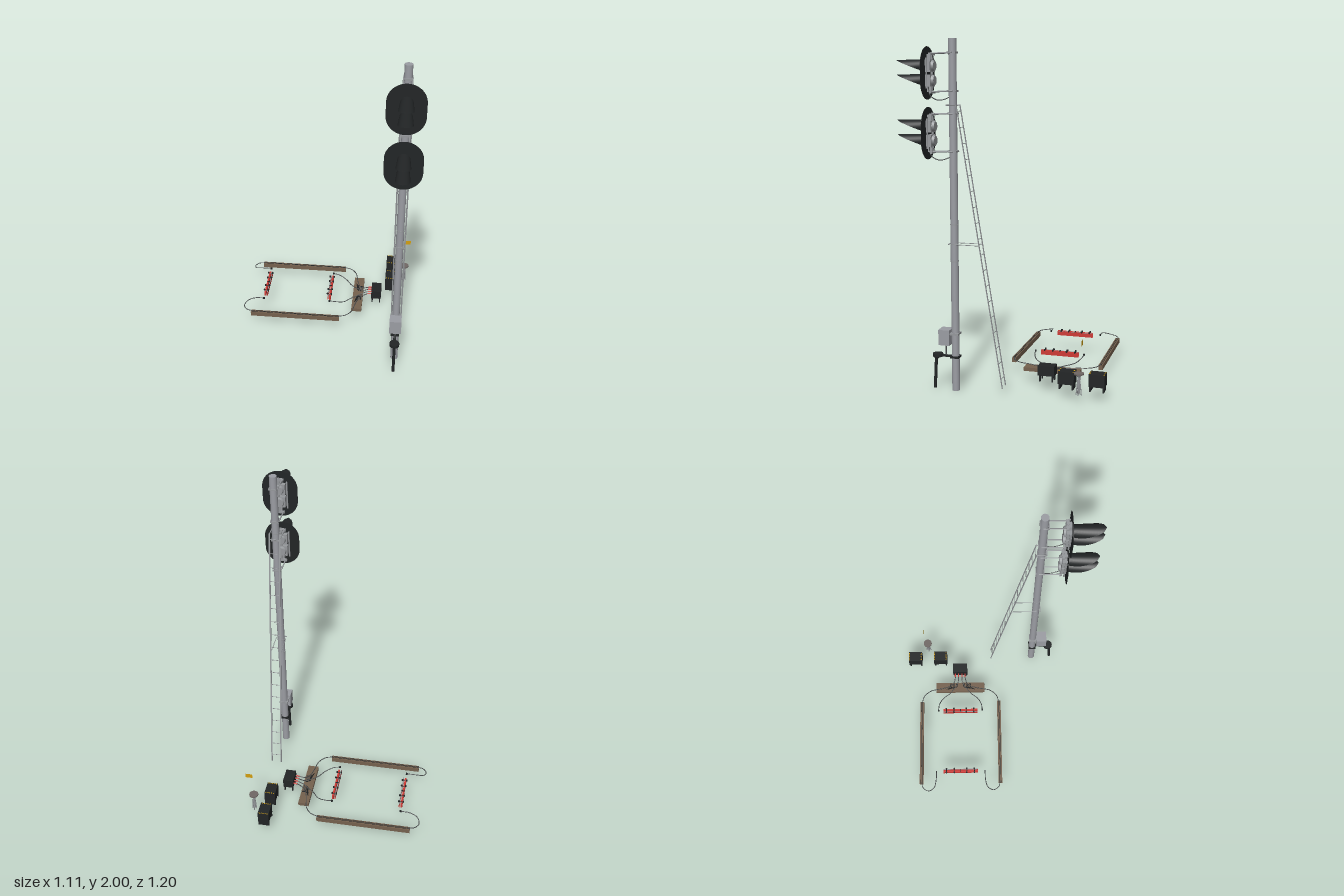
import * as THREE from 'three';

const V = (x, y, z) => new THREE.Vector3(x, y, z);
const material = (name, color, side = THREE.FrontSide) => {
  const m = new THREE.MeshStandardMaterial({ color, side });
  m.name = name;
  return m;
};

export function createModel() {
  const root = new THREE.Group();
  root.name = 'railwaySignal';
  const steel = material('mast grey', 0x9b9da3);
  const housing = material('housing grey', 0x96999c);
  const black = material('black', 0x222526, THREE.DoubleSide);
  const cable = material('cable', 0x4c4f50);
  const lens = material('lens pink', 0xd2b0ac);
  const wood = material('wood', 0x75614e);
  const red = material('red', 0xcf3a35);
  const yellow = material('yellow', 0xd39f10, THREE.DoubleSide);
  const capBrown = material('cap brown grey', 0x706865);

  // Helpers
  const add = (parent, name, geo, mat, x = 0, y = 0, z = 0) => {
    const m = new THREE.Mesh(geo, mat);
    m.name = name;
    m.position.set(x, y, z);
    parent.add(m);
    return m;
  };
  const group = (name, x = 0, y = 0, z = 0) => {
    const g = new THREE.Group();
    g.name = name;
    g.position.set(x, y, z);
    root.add(g);
    return g;
  };
  const box = (p, name, mat, w, h, d, x, y, z) => add(p, name, new THREE.BoxGeometry(w, h, d), mat, x, y, z);
  const cyl = (p, name, mat, r, h, x, y, z, r2 = r, n = 20) => add(p, name, new THREE.CylinderGeometry(r, r2, h, n), mat, x, y, z);
  const rod = (p, name, mat, a, b, r, n = 8) => {
    const d = b.clone().sub(a);
    const m = add(p, name, new THREE.CylinderGeometry(r, r, d.length(), n), mat);
    m.position.copy(a).addScaledVector(d, 0.5);
    m.quaternion.setFromUnitVectors(V(0, 1, 0), d.normalize());
    return m;
  };
  const wire = (p, name, mat, pts, r) =>
    add(p, name, new THREE.TubeGeometry(new THREE.CatmullRomCurve3(pts.map(q => V(...q))), 32, r, 6), mat);

  const MX = 0.45, MZ = 0.267;

  // Mast and its bands
  const mast = group('mast', MX, 0, MZ);
  cyl(mast, 'pole', steel, 0.0225, 2, 0, 1, 0, 0.0225, 24);
  for (const y of [0.2, 0.34, 0.76, 0.86, 0.97, 1.635]) cyl(mast, 'band', housing, 0.0238, 0.006, 0, y, 0, 0.0238, 24);

  // Visor: a flared tunnel cut away obliquely along its underside
  const visorGeometry = () => {
    const g = new THREE.PlaneGeometry(1, 1, 20, 12), p = g.attributes.position;
    for (let i = 0; i < p.count; i++) {
      const t = p.getY(i) + 0.5, u = p.getX(i) * 2;
      const r = 0.035 + 0.014 * t, axis = -0.017 * t;
      const cut = -0.035 + 0.067 * t;
      const a = u * Math.acos(THREE.MathUtils.clamp((cut - axis) / r, -1, 1));
      p.setXYZ(i, r * Math.sin(a), axis + r * Math.cos(a), t * 0.182);
    }
    g.computeVertexNormals();
    return g;
  };

  // Signal heads
  const plate = new THREE.Shape();
  plate.absarc(0, 0.04, 0.106, 0, Math.PI, false);
  plate.absarc(0, -0.04, 0.106, Math.PI, Math.PI * 2, false);
  for (const cy of [1.812, 1.48]) {
    const h = group('signalHead', MX, cy, 0.416);
    add(h, 'backgroundPlate', new THREE.ExtrudeGeometry(plate, { depth: 0.0015, bevelEnabled: false, curveSegments: 20 }), black, 0, 0, -0.001);
    for (const s of [-1, 1]) {
      const y = s * 0.04;
      add(h, 'lens', new THREE.CircleGeometry(0.034, 28), lens, 0, y, 0.003);
      add(h, 'visor', visorGeometry(), black, 0, y, 0.001);
      // Lamp case with a round door on the back
      box(h, 'lampCase', housing, 0.074, 0.066, 0.03, 0, y, -0.016);
      const door = cyl(h, 'lampDoor', housing, 0.031, 0.014, 0, y, -0.038, 0.026);
      door.rotation.x = Math.PI / 2;
      box(h, 'hinge', housing, 0.008, 0.045, 0.008, 0.039, y, -0.028);
      // Bracket arms to the mast
      const by = s > 0 ? 0.107 : -0.102;
      for (const x of [-0.024, 0.024]) rod(h, 'bracketArm', housing, V(x, by, -0.027), V(x, by + 0.004, -0.155), 0.004);
      box(h, 'bracketCross', housing, 0.062, 0.014, 0.014, 0, by - 0.003, -0.027);
      box(h, 'mastClamp', housing, 0.056, 0.01, 0.006, 0, by + 0.004, -0.125);
      box(h, 'mastClampBack', housing, 0.05, 0.01, 0.004, 0, by + 0.004, -0.172);
      box(h, 'plateFoot', housing, 0.03, 0.03, 0.024, 0, s * 0.088, -0.014);
    }
    for (const x of [-0.045, 0.045]) rod(h, 'frameBar', housing, V(x, -0.085, -0.012), V(x, 0.085, -0.012), 0.005);
    rod(h, 'spine', housing, V(0, -0.112, -0.025), V(0, 0.115, -0.025), 0.006);
    wire(h, 'headCable', cable, [[0.015, -0.075, -0.012], [0.015, -0.12, -0.02], [0.012, -0.145, -0.055], [0.005, -0.146, -0.09], [0, -0.132, -0.128]], 0.0028);
  }

  // Ladder leaning on the back of the mast, with flat rails
  const ladder = group('ladder');
  const top = V(MX, 1.64, 0.238), foot = V(MX, 0.045, -0.022);
  const run = top.clone().sub(foot), middle = foot.clone().lerp(top, 0.5);
  for (const s of [-1, 1]) {
    const x = MX + s * 0.031;
    const rail = box(ladder, 'ladderRail', housing, 0.009, run.length(), 0.004, x, middle.y, middle.z);
    rail.rotation.x = Math.atan2(run.z, run.y);
    rod(ladder, 'ladderStay', housing, V(x, 0.86, 0.27), V(x, 0.86, 0.111), 0.0022);
    rod(ladder, 'ladderHook', housing, V(x, 1.637, 0.238), V(x, 1.637, 0.295), 0.003);
  }
  for (let i = 0; i < 18; i++) {
    const c = foot.clone().lerp(top, (i + 0.6) / 18);
    rod(ladder, 'rung', housing, c.clone().setX(MX - 0.031), c.clone().setX(MX + 0.031), 0.0021, 6);
  }
  box(ladder, 'stayCross', housing, 0.066, 0.005, 0.005, MX, 0.86, 0.292);
  box(ladder, 'topCross', housing, 0.068, 0.008, 0.005, MX, 1.637, 0.294);

  // Junction box on the mast
  const junction = group('junctionBox', MX, 0, 0);
  box(junction, 'boxBody', steel, 0.072, 0.09, 0.066, 0, 0.315, 0.326);
  box(junction, 'boxClamp', housing, 0.056, 0.012, 0.05, 0, 0.337, MZ);
  rod(junction, 'conduit', cable, V(0, 0.27, 0.325), V(0, 0.2, 0.325), 0.004);

  // Black cable head on a slanted post
  const stand = group('cableStand', MX, 0, 0);
  box(stand, 'standClamp', black, 0.052, 0.012, 0.05, 0, 0.2, MZ);
  box(stand, 'standArm', black, 0.018, 0.01, 0.06, 0, 0.2, 0.32);
  cyl(stand, 'standHead', black, 0.03, 0.018, 0, 0.202, 0.376);
  cyl(stand, 'standNeck', black, 0.02, 0.014, 0, 0.187, 0.384, 0.012);
  rod(stand, 'standPost', black, V(0, 0.19, 0.386), V(0, 0.002, 0.396), 0.009, 12);

  // Ground boxes: the hooded ones stand on full-width end panels, the other on legs
  const groundBox = (name, x, z, w, h, d, y0, hooded) => {
    const g = group(name, x, 0, z);
    box(g, 'case', black, w, h, d, 0, y0 + h / 2, 0);
    const legY = (y0 + 0.057) / 2, legH = y0 - 0.057;
    for (const sz of [-1, 1]) {
      if (hooded) {
        box(g, 'endPanel', black, w, legH, 0.008, 0, legY, sz * (d / 2 - 0.008));
        for (let i = -2; i <= 2; i++) {
          const dash = add(g, 'warningDash', new THREE.PlaneGeometry(0.006, 0.007), yellow, i * 0.012, y0 + h + 0.001, sz * (d / 2 - 0.005));
          dash.rotation.set(-Math.PI / 2, 0, 0.4);
        }
      } else for (const sx of [-1, 1])
        box(g, 'leg', black, 0.008, legH, 0.008, sx * (w / 2 - 0.007), legY, sz * (d / 2 - 0.012));
    }
  };
  groundBox('connectionBox', 0.308, -0.24, 0.064, 0.058, 0.098, 0.093, false);
  groundBox('equipmentBoxRear', 0.396, -0.553, 0.068, 0.073, 0.092, 0.086, true);
  groundBox('equipmentBoxFront', 0.396, -0.378, 0.068, 0.073, 0.092, 0.086, true);

  // Mushroom post and yellow sign
  const post = group('mushroomPost', 0.486, 0, -0.465);
  cyl(post, 'cap', capBrown, 0.028, 0.008, 0, 0.178, 0, 0.028, 24);
  cyl(post, 'capCone', housing, 0.016, 0.014, 0, 0.167, 0, 0.009);
  cyl(post, 'stem', housing, 0.008, 0.1, 0, 0.115, 0);
  for (const s of [-1, 1]) {
    rod(post, 'stemLeg', housing, V(s * 0.006, 0.14, 0), V(s * 0.012, 0.055, 0), 0.003);
    rod(post, 'stemLeg', housing, V(0, 0.14, s * 0.006), V(0, 0.055, s * 0.015), 0.003);
  }
  add(post, 'signPlate', new THREE.PlaneGeometry(0.042, 0.03), yellow, 0.014, 0.358, -0.02);

  // Wooden cable troughs
  const troughs = group('troughs');
  box(troughs, 'crossTrough', wood, 0.066, 0.022, 0.335, 0.185, 0.081, -0.24);
  const cables = group('cables');
  for (const s of [-1, 1]) {
    const z = d => -0.24 + s * d;
    box(troughs, 'longTrough', wood, 0.58, 0.029, 0.025, -0.21, 0.0845, z(0.267));
    for (const o of [-0.004, 0.004]) box(troughs, 'troughGroove', black, 0.58, 0.002, 0.0025, -0.21, 0.0995, z(0.267 + o));
    // Loop from the trough to the far rail
    wire(cables, 'farCable', cable, [[-0.49, 0.1, z(0.266)], [-0.53, 0.101, z(0.255)], [-0.552, 0.103, z(0.22)], [-0.535, 0.115, z(0.182)], [-0.49, 0.128, z(0.167)], [-0.43, 0.13, z(0.164)]], 0.0028);
    // Trough to connection box
    wire(cables, 'troughCable', cable, [[0.07, 0.1, z(0.267)], [0.12, 0.1, z(0.25)], [0.157, 0.1, z(0.205)], [0.168, 0.1, z(0.16)], [0.178, 0.098, z(0.11)], [0.205, 0.1, z(0.05)], [0.25, 0.118, z(0.034)], [0.28, 0.122, z(0.034)]], 0.0028);
    // Near rail to connection box
    wire(cables, 'nearCable', cable, [[0.005, 0.13, z(0.151)], [0.05, 0.122, z(0.145)], [0.1, 0.105, z(0.118)], [0.135, 0.098, z(0.075)], [0.175, 0.098, z(0.042)], [0.22, 0.106, z(0.015)], [0.25, 0.118, z(0.012)], [0.28, 0.122, z(0.012)]], 0.0028);
    // Slack strands on the cross trough
    for (let i = 0; i < 6; i++)
      wire(cables, 'slackCable', black, [[0.168 + i * 0.002, 0.094, z(0.1 - i * 0.012)], [0.187, 0.095, z(0.07 - i * 0.009)], [0.212, 0.094, z(0.072 - i * 0.011)]], 0.0022);
    for (const d of [0.012, 0.034]) rod(cables, 'redSleeve', red, V(0.252, 0.119, z(d)), V(0.275, 0.122, z(d)), 0.0046);
    box(cables, 'farConnector', black, 0.012, 0.01, 0.009, -0.43, 0.13, z(0.164));
    box(cables, 'nearConnector', black, 0.012, 0.01, 0.009, 0.005, 0.13, z(0.151));
  }

  // Paired red rail bars with small clamps, mirrored across the track
  for (const s of [-1, 1]) {
    const g = group('railBar', -0.212 + s * 0.212, 0, -0.24);
    box(g, 'outerBar', red, 0.011, 0.028, 0.234, s * 0.005, 0.125, 0);
    box(g, 'innerBar', red, 0.005, 0.026, 0.234, -s * 0.009, 0.125, 0);
    box(g, 'innerBarCap', housing, 0.005, 0.001, 0.234, -s * 0.009, 0.1385, 0);
    for (const z of [-0.096, -0.044, 0.041, 0.092]) {
      rod(g, 'clampBolt', black, V(-0.017, 0.138, z), V(0.017, 0.138, z), 0.003);
      for (const x of [-0.013, 0.013]) cyl(g, 'clampNut', black, 0.0055, 0.009, x, 0.143, z, 0.0055, 8);
    }
    box(g, 'centreClip', black, 0.018, 0.006, 0.006, 0, 0.139, 0);
  }
  return root;
}
